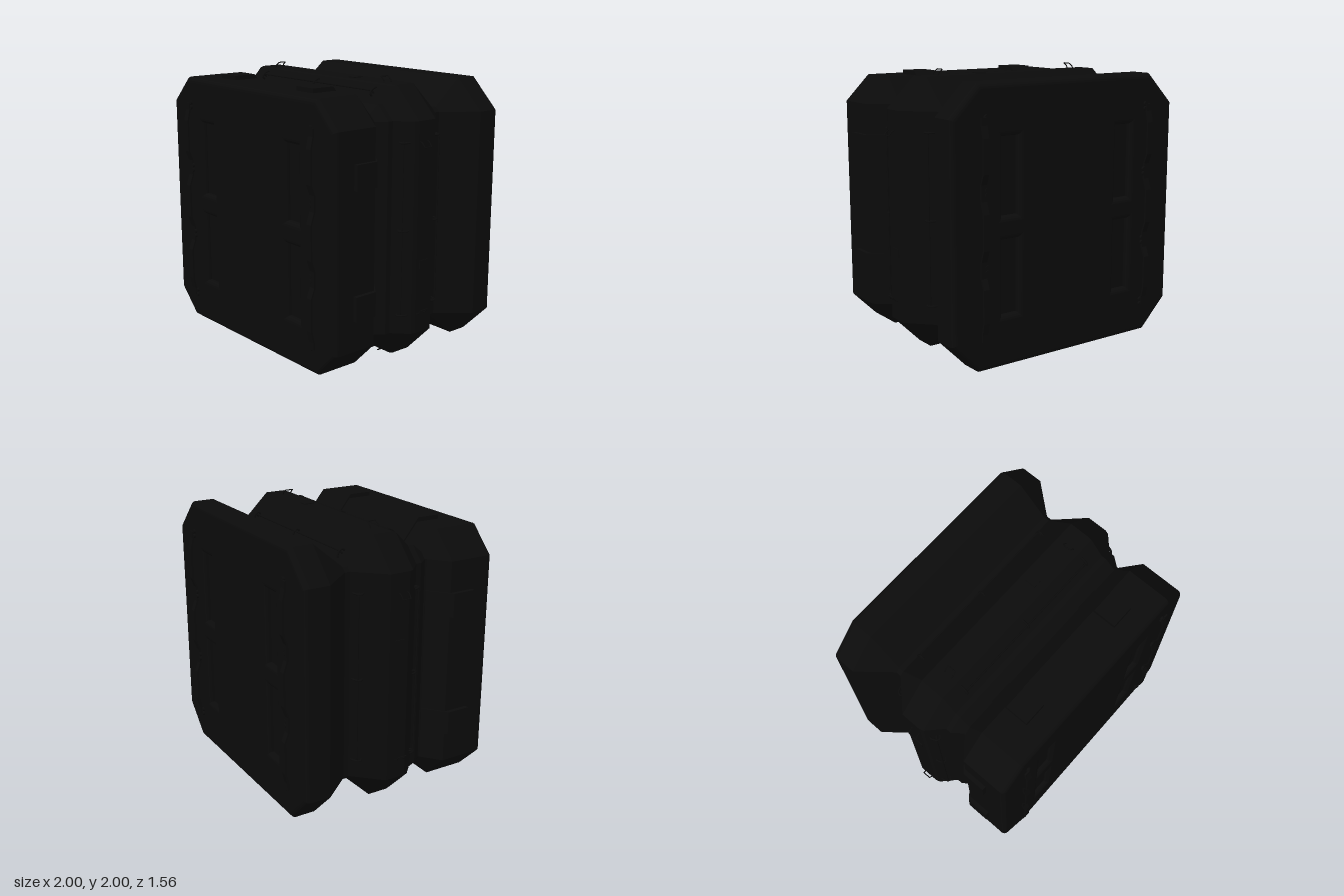
import * as THREE from 'three';

const black = new THREE.MeshStandardMaterial({ color: 0x0b0b0b });
black.name = 'black shell';

const CORNER = 0.74; // where the corner chamfers begin
const octagon = (h) => {
  const c = Math.min(CORNER, h);
  return [[h, -c], [h, c], [c, h], [-c, h], [-h, c], [-h, -c], [-c, -h], [c, -h]];
};

function add(parent, name, geometry, x = 0, y = 0, z = 0) {
  const mesh = new THREE.Mesh(geometry, black);
  mesh.name = name;
  mesh.position.set(x, y, z);
  parent.add(mesh);
  return mesh;
}

// Octagonal rings along z: [z, half width], front to back, with end caps
function loft(sections) {
  const pos = [];
  const rings = sections.map(([z, h]) => octagon(h).map(([x, y]) => [x, y, z]));
  const tri = (a, b, c) => pos.push(...a, ...b, ...c);
  for (let s = 0; s < rings.length - 1; s++) {
    const a = rings[s], b = rings[s + 1];
    for (let i = 0; i < 8; i++) {
      const j = (i + 1) % 8;
      tri(a[i], b[i], a[j]);
      tri(a[j], b[i], b[j]);
    }
  }
  const first = rings[0], last = rings[rings.length - 1];
  for (let i = 1; i < 7; i++) {
    tri(first[0], first[i], first[i + 1]);
    tri(last[0], last[i + 1], last[i]);
  }
  const g = new THREE.BufferGeometry();
  g.setAttribute('position', new THREE.Float32BufferAttribute(pos, 3));
  g.computeVertexNormals();
  return g;
}

const shapeOf = (pts) => new THREE.Shape(pts.map(([x, y]) => new THREE.Vector2(x, y)));

// Extrude a (z, y) outline across x, centred on x = 0
function acrossX(pts, width) {
  const g = new THREE.ExtrudeGeometry(shapeOf(pts), { depth: width, bevelEnabled: false });
  return g.translate(0, 0, -width / 2).rotateY(-Math.PI / 2);
}

function tube(pts, radius, smooth = true) {
  const v = pts.map((p) => new THREE.Vector3(...p));
  const curve = new THREE.CatmullRomCurve3(v, false, 'catmullrom', smooth ? 0.5 : 0);
  return new THREE.TubeGeometry(curve, 48, radius, 6);
}

// Rounded end panel with four pockets
function endPanel(h) {
  const shape = shapeOf(octagon(h));
  for (const sx of [-1, 1]) {
    for (const [y0, y1] of [[-0.595, -0.08], [0.08, 0.605]]) {
      const x0 = sx * 0.49 - 0.065, x1 = sx * 0.49 + 0.065;
      shape.holes.push(new THREE.Path([[x0, y0], [x0, y1], [x1, y1], [x1, y0]]
        .map(([x, y]) => new THREE.Vector2(x, y))));
    }
  }
  const b = 0.035;
  return new THREE.ExtrudeGeometry(shape, {
    depth: 0.03, bevelEnabled: true, bevelThickness: b, bevelSize: b, bevelOffset: -b, bevelSegments: 4,
  }).translate(0, 0, 0.74 - 0.03 - b);
}

// Zigzag ribbon handle with three raised grips
function ribbonOutline() {
  const half = [[0.74, 0.012], [0.69, 0.012], [0.61, 0.03], [0.38, 0.03], [0.31, 0.003], [0.2, 0.003], [0.12, 0.03]];
  const line = [...half, ...half.slice().reverse().map(([y, z]) => [-y, z])];
  const outer = line.map(([y, z]) => [z + 0.012, y]);
  const inner = line.map(([y, z]) => [z, y]).reverse();
  return [...outer, ...inner];
}

function buildEnd(h) {
  const end = new THREE.Group();
  add(end, 'endPanel', endPanel(h));
  for (const sx of [-1, 1]) {
    add(end, 'ribbonHandle', acrossX(ribbonOutline(), 0.045), sx * 0.712, 0, 0.737);
    // Clips holding the handle
    for (const y of [-0.725, -0.255, 0.255, 0.725]) {
      for (const dy of [-0.017, 0.017]) {
        const g = new THREE.CylinderGeometry(0.016, 0.016, 0.025, 10).rotateX(Math.PI / 2);
        add(end, 'handleClip', g, sx * 0.69, y + dy, 0.743);
      }
    }
  }
  return end;
}

// Slim rail standing off a sloped face; nz, ny is the face normal
function rail(parent, z, y, nz, ny) {
  const p = (x, d) => [x, y + ny * d, z + nz * d];
  add(parent, 'grabRail', tube([
    p(-0.6, -0.01), p(-0.6, 0.02), p(-0.585, 0.03), p(-0.5, 0.03),
    p(0, 0.03), p(0.5, 0.03), p(0.585, 0.03), p(0.6, 0.02), p(0.6, -0.01),
  ], 0.006));
  // Curled brackets at the ends and the middle
  for (const x of [-0.6, 0, 0.6]) {
    const q = (along, d) => [x, y + ny * d + nz * along, z + nz * d - ny * along];
    add(parent, 'railBracket', tube([q(0.045, 0.008), q(0.03, 0.02), q(0, 0.03), q(-0.022, 0.022), q(-0.025, 0)], 0.007));
  }
}

// Details repeated on the top, bottom and both sides
function buildSide() {
  const side = new THREE.Group();
  const clasp = [[0.58, 0.915], [0.58, 0.955], [0.41, 0.955], [0.285, 0.80], [0.295, 0.78], [0.4, 0.915]];
  for (const s of [-1, 1]) {
    add(side, 'clasp', acrossX(clasp.slice().reverse(), 0.17), s * 0.437);
    // Tie-down loop leaning towards the middle
    const x = (t) => s * (0.605 - t);
    add(side, 'tieLoop', tube([
      [x(0), 0.95, -0.04], [x(0.012), 0.975, -0.04], [x(0.038), 0.995, -0.038],
      [x(0.038), 0.995, 0.023], [x(0.012), 0.975, 0.025], [x(0), 0.95, 0.025],
    ], 0.004, false));
  }
  rail(side, 0.12, 0.893, 0.72, 0.69);
  rail(side, -0.255, 0.814, -0.7, 0.71);
  // Small latch on the flat rim
  add(side, 'latch', new THREE.BoxGeometry(0.06, 0.012, 0.08), 0.25, 0.955, -0.03);
  return side;
}

export function createModel() {
  const model = new THREE.Group();
  model.name = 'crate';
  const crate = new THREE.Group();
  crate.name = 'crateBody';
  crate.position.y = 1;
  model.add(crate);

  // Grooved shell
  add(crate, 'shell', loft([
    [0.70, 0.925], [0.40, 0.925], [0.29, 0.79], [0.28, 0.785], [0.21, 0.84], [0.17, 0.84],
    [0.07, 0.945], [0.04, 0.955], [-0.11, 0.955], [-0.30, 0.77], [-0.34, 0.77], [-0.56, 0.955], [-0.70, 0.955],
  ]));

  // Front and back faces
  const front = buildEnd(0.925);
  front.name = 'frontEnd';
  const back = buildEnd(0.955);
  back.name = 'backEnd';
  back.rotation.y = Math.PI;
  crate.add(front, back);

  // Four sides
  ['top', 'leftSide', 'bottom', 'rightSide'].forEach((name, k) => {
    const side = buildSide();
    side.name = name + 'Details';
    side.rotation.z = -k * Math.PI / 2;
    crate.add(side);
  });
  return model;
}
